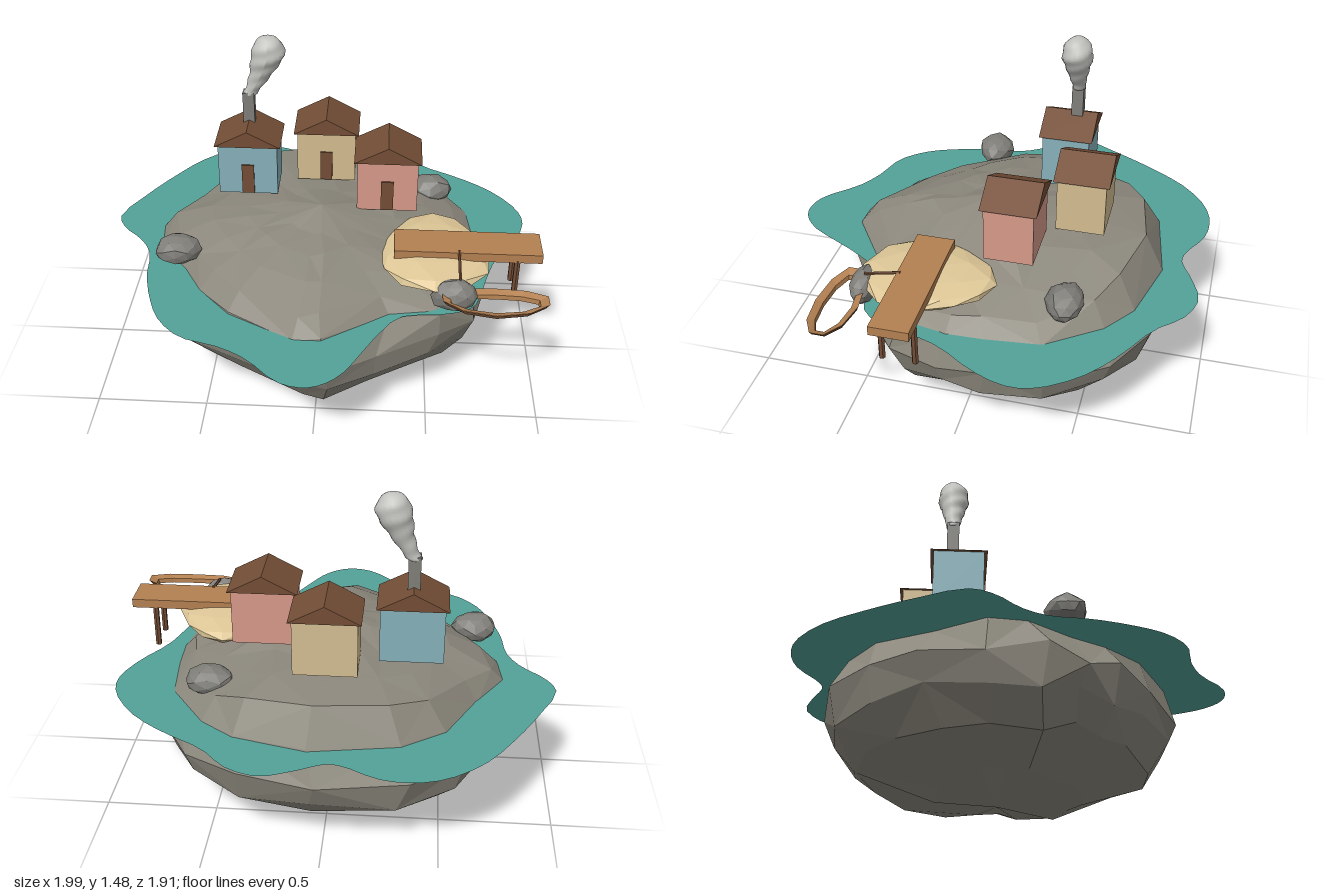
import * as THREE from 'three';

const mat = (name, color, side = THREE.FrontSide) => {
  const m = new THREE.MeshStandardMaterial({ color, side, flatShading: true });
  m.name = name;
  return m;
};

// repeatable noise in -1..1 from a position
const noise = (x, y, z) => {
  const s = Math.sin(x * 127.1 + y * 311.7 + z * 74.7) * 43758.5453;
  return (s - Math.floor(s)) * 2 - 1;
};

export function createModel() {
  const group = new THREE.Group();
  const rock = mat('rock', 0x8c887d);
  const boulderGrey = mat('boulder grey', 0x7f7e79);
  const water = mat('water', 0x53a299, THREE.DoubleSide);
  const sand = mat('sand', 0xdfc898);
  const wood = mat('wood', 0xb48152, THREE.DoubleSide);
  const brown = mat('dark brown', 0x744e36, THREE.DoubleSide);
  const blue = mat('blue wall', 0x86b0ba);
  const tan = mat('tan wall', 0xd3bd91);
  const pink = mat('pink wall', 0xd69989);
  const smokeGrey = mat('smoke', 0xc2c2be);
  smokeGrey.flatShading = false;

  const add = (name, geo, material, x = 0, y = 0, z = 0, parent = group) => {
    const mesh = new THREE.Mesh(geo, material);
    mesh.name = name;
    mesh.position.set(x, y, z);
    parent.add(mesh);
    return mesh;
  };
  const box = (name, w, h, d, material, x, y, z, parent) =>
    add(name, new THREE.BoxGeometry(w, h, d), material, x, y, z, parent);
  const rod = (name, a, b, r, material) => {
    const p = new THREE.Vector3(...a), q = new THREE.Vector3(...b);
    const mesh = add(name, new THREE.CylinderGeometry(r, r, p.distanceTo(q), 6), material);
    mesh.position.copy(p).lerp(q, 0.5);
    mesh.quaternion.setFromUnitVectors(new THREE.Vector3(0, 1, 0), q.sub(p).normalize());
  };
  // moves every vertex of a geometry by a rule
  const warp = (geo, rule) => {
    const p = geo.attributes.position;
    for (let i = 0; i < p.count; i++) {
      const v = new THREE.Vector3().fromBufferAttribute(p, i);
      rule(v);
      p.setXYZ(i, v.x, v.y, v.z);
    }
    geo.computeVertexNormals();
    return geo;
  };

  // Island: rings that follow the hull below the water and the shoreline above it
  const hull = [[-0.08, 0.7], [0.06, 0.69], [0.28, 0.56], [0.54, 0.45], [0.7, 0.29], [0.76, 0.08],
    [0.77, -0.12], [0.73, -0.37], [0.6, -0.62], [0.36, -0.76], [0.04, -0.85], [-0.35, -0.78],
    [-0.6, -0.63], [-0.74, -0.4], [-0.83, -0.15], [-0.81, 0.08], [-0.72, 0.24], [-0.6, 0.38], [-0.4, 0.54]];
  const shore = [[-0.08, 0.66], [0.04, 0.64], [0.3, 0.47], [0.55, 0.42], [0.69, 0.25], [0.73, 0.05],
    [0.71, -0.12], [0.69, -0.35], [0.53, -0.59], [0.34, -0.69], [0.04, -0.78], [-0.32, -0.71],
    [-0.5, -0.6], [-0.65, -0.34], [-0.78, -0.17], [-0.74, 0.02], [-0.62, 0.2], [-0.52, 0.34], [-0.38, 0.48]];
  const levels = [[hull, 0.06, 0.42], [hull, 0.15, 0.82], [hull, 0.27, 0.95], [hull, 0.4, 1],
    [shore, 0.53, 1.01], [shore, 0.61, 0.9], [shore, 0.675, 0.68], [shore, 0.715, 0.46], [shore, 0.74, 0.25]];
  const bump = (x, z, cx, cz, w) => Math.exp(-((x - cx) ** 2 + (z - cz) ** 2) / w);
  const n = shore.length;
  const pos = [-0.03, 0, -0.08];
  levels.forEach(([ring, y, s], j) => ring.forEach(([x, z], i) => {
    const k = s * (1 + 0.02 * noise(i, j, 1));
    let h = y + (j < 4 ? 0.035 : 0.012) * noise(i, j, 5);
    if (j > 4) { // raised back rim, hollow under the beach and the back boulder
      h += 0.2 * Math.max(0, -z * s - 0.3) - 0.07 * bump(x * s, z * s, 0.48, 0.2, 0.06)
        - 0.06 * bump(x * s, z * s, 0.52, -0.42, 0.03);
    }
    const twist = 0.03 * noise(i, j, 9);
    pos.push(k * (x + twist * z), h, k * (z - twist * x));
  }));
  pos.push(0, 0.785, 0);
  const index = [], top = 1 + levels.length * n;
  for (let i = 0; i < n; i++) {
    const k = (i + 1) % n;
    index.push(0, 1 + k, 1 + i);
    for (let j = 0; j < levels.length - 1; j++) {
      const a = 1 + j * n + i, b = 1 + j * n + k, c = b + n, d = a + n;
      if ((i + j) % 2) index.push(a, b, c, a, c, d);
      else index.push(a, b, d, b, c, d);
    }
    index.push(top - n + i, top - n + k, top);
  }
  const islandGeo = new THREE.BufferGeometry();
  islandGeo.setAttribute('position', new THREE.Float32BufferAttribute(pos, 3));
  islandGeo.setIndex(index);
  islandGeo.computeVertexNormals();
  add('island', islandGeo, rock);

  // Water: a flat sheet with a wavy edge
  const edge = [[-1, -0.23], [-0.91, -0.43], [-0.8, -0.62], [-0.67, -0.8], [-0.51, -0.92], [-0.37, -0.955],
    [-0.24, -0.94], [-0.1, -0.87], [-0.03, -0.86], [0.08, -0.91], [0.23, -0.96], [0.37, -0.91], [0.48, -0.8],
    [0.68, -0.68], [0.83, -0.56], [0.94, -0.4], [0.96, -0.28], [0.91, -0.13], [0.8, 0.05], [0.75, 0.2],
    [0.68, 0.4], [0.56, 0.45], [0.37, 0.48], [0.27, 0.61], [0.21, 0.72], [0.13, 0.86], [0.05, 0.93],
    [-0.03, 0.95], [-0.13, 0.92], [-0.27, 0.79], [-0.4, 0.72], [-0.56, 0.67], [-0.67, 0.56], [-0.73, 0.43],
    [-0.78, 0.25], [-0.8, 0.08], [-0.86, -0.03], [-0.96, -0.13]];
  const curve = new THREE.CatmullRomCurve3(edge.map(([x, z]) => new THREE.Vector3(x, -z, 0)), true);
  const waterShape = new THREE.Shape(curve.getPoints(90).map(p => new THREE.Vector2(p.x, p.y)));
  add('water', new THREE.ShapeGeometry(waterShape), water, 0, 0.533, 0).rotation.x = -Math.PI / 2;

  // Roughened low-poly blobs for the beach and the boulders
  const blob = (rx, ry, rz, amount, seed) => warp(new THREE.IcosahedronGeometry(1, 1), v => {
    const r = [v.x, v.y, v.z].map(c => Math.round(c * 100) / 100);
    v.multiplyScalar(1 + amount * noise(r[0] + seed, r[1], r[2]));
    v.set(v.x * rx, v.y * ry, v.z * rz);
  });
  const beach = warp(blob(0.255, 0.05, 0.3, 0.04, 3), v => { v.x *= 0.95 + 0.6 * v.z; });
  add('beach', beach, sand, 0.51, 0.664, 0.16);
  [[-0.645, 0.63, 0.165, 0.105, 0.068, 0.085], [0.51, 0.632, -0.42, 0.11, 0.068, 0.08],
    [0.595, 0.625, 0.435, 0.1, 0.075, 0.06]].forEach(([x, y, z, rx, ry, rz], i) =>
    add('boulder', blob(rx, ry, rz, 0.08, i * 7 + 1), boulderGrey, x, y, z));

  // Houses: walls, gable roof and door
  const gable = new THREE.Shape([[-0.153, 0], [0.153, 0], [0, 0.08]].map(p => new THREE.Vector2(...p)));
  const roofGeo = new THREE.ExtrudeGeometry(gable, { depth: 0.245, bevelEnabled: false });
  [['blueHouse', blue, -0.355, -0.268], ['tanHouse', tan, 0.003, -0.41], ['pinkHouse', pink, 0.295, -0.157]]
    .forEach(([name, wall, x, z]) => {
      const house = new THREE.Group();
      house.name = name;
      house.position.set(x, 0.74, z);
      group.add(house);
      box('walls', 0.275, 0.25, 0.216, wall, 0, 0.12, 0, house);
      add('roof', roofGeo, brown, 0, 0.245, -0.1225, house);
      box('door', 0.057, 0.148, 0.009, brown, 0, 0.074, 0.112, house);
    });

  // Chimney and its leaning plume of smoke
  box('chimney', 0.053, 0.2, 0.053, boulderGrey, -0.355, 1.1, -0.296);
  const plume = new THREE.SplineCurve([[0, 0], [0.032, 0.01], [0.034, 0.04], [0.044, 0.08], [0.054, 0.125],
    [0.068, 0.17], [0.076, 0.215], [0.066, 0.26], [0.035, 0.293], [0, 0.3]].map(p => new THREE.Vector2(...p)));
  const plumePoints = plume.getPoints(36).map(p => new THREE.Vector2(Math.max(0, p.x), p.y));
  const smokeGeo = warp(new THREE.LatheGeometry(plumePoints, 18), v => {
    const lean = Math.min(1, v.y / 0.22);
    const puff = 1 + 0.05 * Math.sin(v.y * 90 + 2 * Math.atan2(v.z, v.x));
    v.x = v.x * puff + 0.1 * lean * (1.4 - 0.4 * lean) - 0.003;
    v.z *= 0.9 * puff;
  });
  add('smoke', smokeGeo, smokeGrey, -0.357, 1.175, -0.298);

  // Pier: deck on four posts, with a mooring pole
  box('pierDeck', 0.645, 0.042, 0.17, wood, 0.655, 0.714, 0.19);
  for (const x of [0.615, 0.87]) for (const z of [0.122, 0.264])
    rod('pierPost', [x, 0.49, z], [x, 0.7, z], 0.014, brown);
  rod('mooringPole', [0.615, 0.735, 0.26], [0.615, 0.7, 0.42], 0.007, brown);

  // Boat: an open flared hull with a light gunwale, rising at both ends
  const boatRing = (name, profile, material) => {
    const geo = new THREE.LatheGeometry(profile.map(p => new THREE.Vector2(...p)), 10);
    add(name, warp(geo, v => {
      const narrow = Math.hypot(v.x, v.z) < 0.88 ? 0.78 : 1;
      v.set(v.x * 0.235, v.y + 0.02 * v.x * v.x, v.z * 0.095 * narrow);
    }), material, 0.763, 0, 0.492);
  };
  boatRing('boatHull', [[0.82, 0.61], [0.92, 0.622], [0.99, 0.64]], brown);
  boatRing('boatGunwale', [[1, 0.642], [0.84, 0.632], [0.82, 0.61]], wood);
  return group;
}
